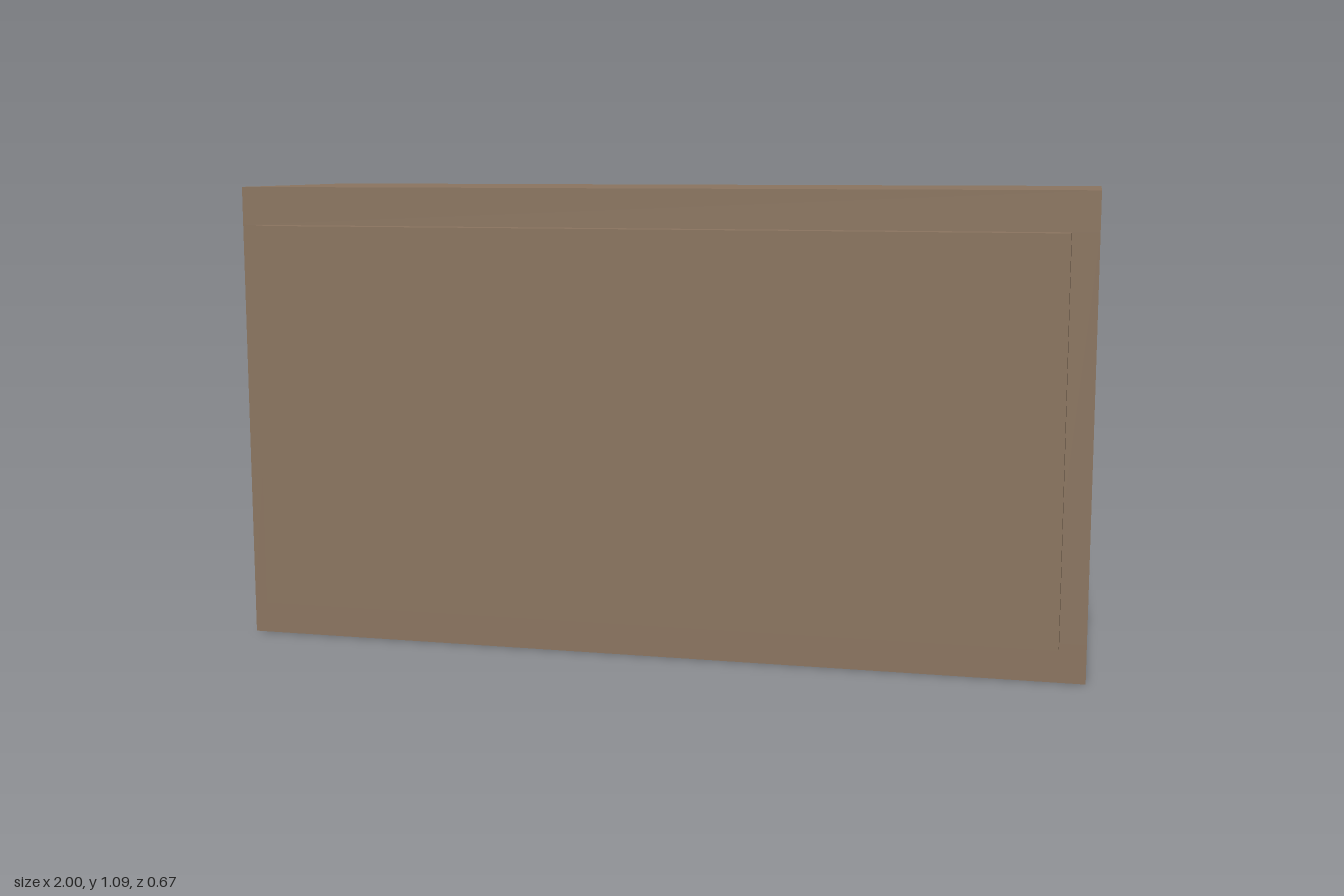
import * as THREE from 'three';

export function createModel() {
  const model = new THREE.Group();
  model.name = 'cabinet';
  const wood = new THREE.MeshStandardMaterial({ color: 0x8b7560 });
  wood.name = 'brown wood';
  const grey = new THREE.MeshStandardMaterial({ color: 0xacb0b5 });
  grey.name = 'light grey';

  // Box given by its minimum and maximum along each axis
  function slab(name, material, [x0, x1], [y0, y1], [z0, z1]) {
    const mesh = new THREE.Mesh(new THREE.BoxGeometry(x1 - x0, y1 - y0, z1 - z0), material);
    mesh.position.set((x0 + x1) / 2, (y0 + y1) / 2, (z0 + z1) / 2);
    mesh.name = name;
    model.add(mesh);
  }

  // Carcass: top and bottom overhang the sides at the back
  slab('bottomBoard', wood, [-1, 1], [0, 0.09], [-0.333, 0.273]);
  slab('topBoard', wood, [-1, 1], [1.0, 1.09], [-0.333, 0.273]);
  slab('rightSide', wood, [-1, -0.91], [0.09, 1.0], [-0.273, 0.273]);
  slab('leftSide', wood, [0.91, 1], [0.09, 1.0], [-0.273, 0.273]);
  slab('frontPanel', wood, [-0.94, 0.94], [0.09, 1.0], [0.273, 0.333]);

  // Low plinth and slim post inside
  slab('innerPlinth', wood, [-0.6, 0.6], [0.09, 0.41], [0.15, 0.273]);
  slab('innerPost', wood, [-0.06, 0.06], [0.09, 1.0], [0.02, 0.057]);

  // Grey door with a small catch on its top edge
  slab('door', grey, [-0.88, 0.88], [0.152, 0.94], [-0.333, -0.273]);
  slab('doorCatch', grey, [-0.046, 0.046], [0.94, 0.97], [-0.315, -0.273]);

  return model;
}
